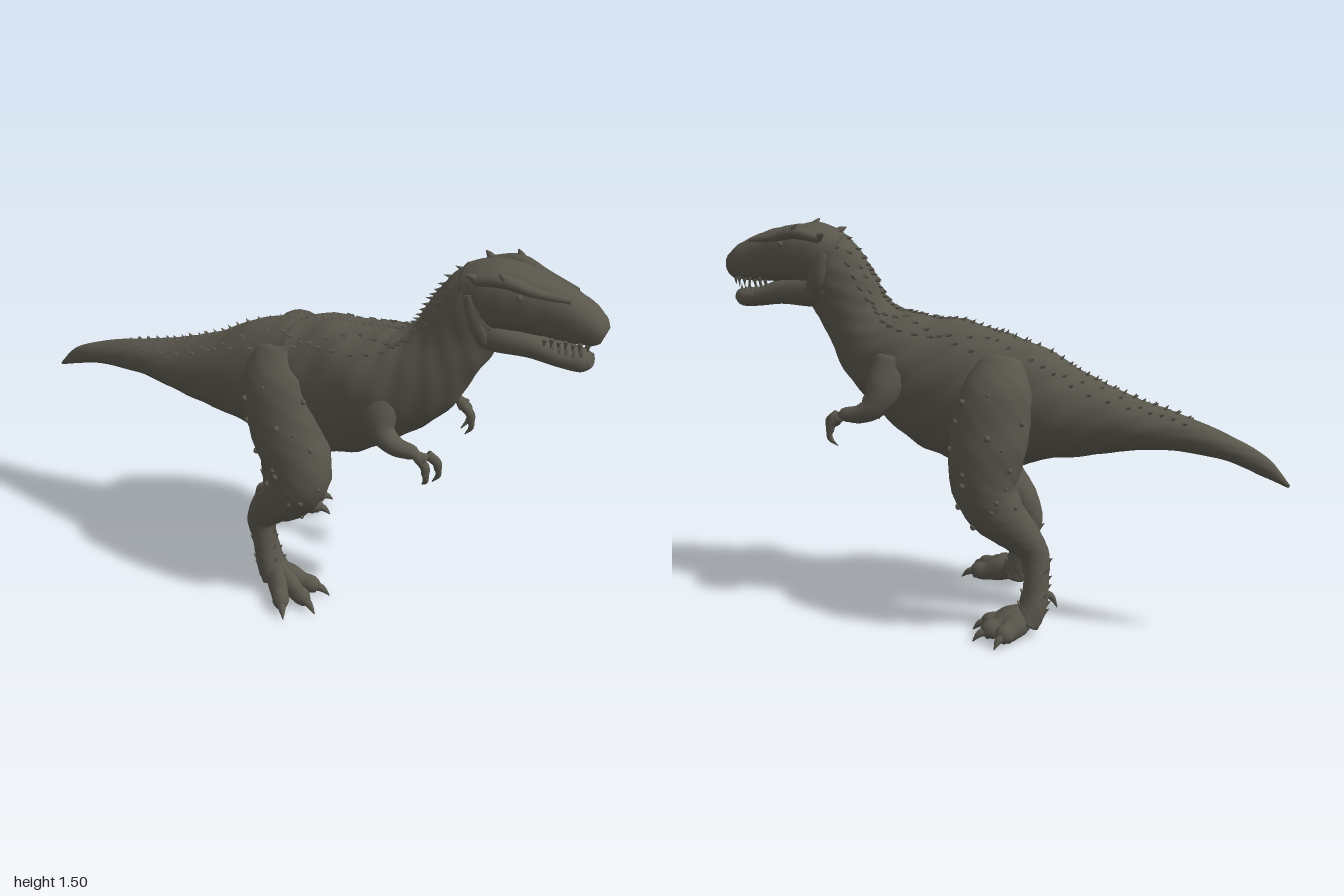
import * as THREE from 'three';
import { mergeGeometries } from 'three/addons/utils/BufferGeometryUtils.js';

const hide = new THREE.MeshStandardMaterial({ color: 0x59564c });
hide.name = 'dark hide';
const V = (x, y, z) => new THREE.Vector3(x, y, z);

// Surface through oval sections; each row is [x, y, z, sideRadius, otherRadius].
function surface(rows, { bump = 0, square = 1 } = {}) {
  const path = new THREE.CatmullRomCurve3(rows.map(r => V(r[0], r[1], r[2])));
  const size = new THREE.CatmullRomCurve3(rows.map(r => V(r[3], r[4], 0)));
  const soft = v => Math.sign(v) * Math.abs(v) ** square;
  return (t, a, scale = 1) => {
    const c = path.getPoint(t), d = path.getTangent(t), r = size.getPoint(t);
    const side = V(1, 0, 0).addScaledVector(d, -d.x).normalize();
    const n = d.clone().cross(side);
    const k = scale * (1 + bump * Math.sin(5 * a + t * 31) * Math.sin(t * 80 + a * 3));
    return c.addScaledVector(side, soft(Math.cos(a)) * Math.max(r.x, 0.001) * k)
      .addScaledVector(n, soft(Math.sin(a)) * Math.max(r.y, 0.001) * k);
  };
}

// Closed skin over a surface, with rounded ends.
function skin(f, steps, sides) {
  const pos = [], idx = [], rings = [[0, 0], [0, 0.6]];
  for (let i = 0; i <= steps; i++) rings.push([i / steps, 1]);
  rings.push([1, 0.6], [1, 0]);
  rings.forEach(([t, k], i) => {
    for (let j = 0; j < sides; j++) {
      pos.push(...f(t, j / sides * Math.PI * 2, k).toArray());
      if (i === rings.length - 1) continue;
      const a = i * sides + j, b = i * sides + (j + 1) % sides;
      idx.push(a, b, a + sides, b, b + sides, a + sides);
    }
  });
  const g = new THREE.BufferGeometry();
  g.setAttribute('position', new THREE.Float32BufferAttribute(pos, 3));
  g.setIndex(idx);
  g.computeVertexNormals();
  return g;
}
const loft = (rows, steps = 20, sides = 16, opt) => skin(surface(rows, opt), steps, sides);

// Curved claw or horn: three centre points tapering to a tip.
const claw = (a, b, c, r) => loft([[...a, r, r], [...b, r * 0.75, r * 0.75], [...c, 0.002, 0.002]], 6, 8);

// Cone standing at a point and pointing along a direction.
function spike(p, dir, r, h) {
  const g = new THREE.ConeGeometry(r, h, 6);
  g.applyQuaternion(new THREE.Quaternion().setFromUnitVectors(V(0, 1, 0), dir.clone().normalize()));
  return g.translate(p.x, p.y, p.z);
}
const knob = (p, r) => new THREE.SphereGeometry(r, 8, 6).translate(p.x, p.y, p.z);

export function createModel() {
  const model = new THREE.Group();
  const dino = new THREE.Group(), head = new THREE.Group();
  dino.name = 'dinosaur';
  dino.rotation.y = 0.495; // the animal stands diagonally
  head.name = 'head';
  head.position.x = -0.022;
  dino.add(head);
  model.add(dino);
  const addTo = parent => (name, ...geos) => {
    const m = new THREE.Mesh(geos.length > 1 ? mergeGeometries(geos) : geos[0], hide);
    m.name = name;
    parent.add(m);
  };
  const add = addTo(dino), addHead = addTo(head);

  // Tail, trunk and neck in one skin, bent slightly to its right
  const body = surface([
    [-0.02, 0.62, -1.136, 0.006, 0.006], [-0.025, 0.685, -1.04, 0.03, 0.035],
    [-0.035, 0.735, -0.92, 0.048, 0.045], [-0.05, 0.78, -0.7, 0.075, 0.07],
    [-0.055, 0.795, -0.51, 0.108, 0.11], [-0.055, 0.81, -0.33, 0.137, 0.165],
    [-0.05, 0.835, -0.15, 0.165, 0.235], [-0.045, 0.84, 0.02, 0.185, 0.28],
    [-0.045, 0.89, 0.2, 0.195, 0.27], [-0.048, 0.955, 0.36, 0.19, 0.225],
    [-0.05, 1.035, 0.49, 0.158, 0.178], [-0.045, 1.14, 0.575, 0.126, 0.142],
    [-0.035, 1.25, 0.632, 0.115, 0.142], [-0.028, 1.345, 0.685, 0.108, 0.132],
    [-0.022, 1.38, 0.76, 0.085, 0.09],
  ], { bump: 0.025 });
  add('body', skin(body, 90, 36));

  // Ragged row of spines on the back, with rows of low scales beside it
  const spines = [], scales = [];
  for (let i = 0; i < 50; i++) {
    const t = 0.2 + i * 0.0152, p = body(t, Math.PI / 2);
    const out = p.clone().sub(body(t, Math.PI / 2, 0)).normalize();
    const back = body(t, 0, 0).sub(body(t + 0.01, 0, 0)).normalize();
    out.addScaledVector(back, 0.6);
    spines.push(spike(p, out, 0.014, 0.03 + 0.02 * Math.abs(Math.sin(i * 2.3))));
    for (const k of [-1, 1]) {
      const a = Math.PI / 2 + k * (0.3 + 0.45 * Math.abs(Math.sin(i * 1.7 + k)));
      const q = body(t, a), away = q.clone().sub(body(t, a, 0)).normalize().add(back);
      scales.push(spike(q, away, 0.014, 0.028));
    }
  }
  add('backSpines', ...spines);
  add('backScales', ...scales);

  // Head: skull, open lower jaw, brows, horns, eyes and teeth
  addHead('skull', loft([
    [0, 1.35, 0.635, 0.1, 0.108], [0, 1.375, 0.73, 0.113, 0.122],
    [0, 1.377, 0.83, 0.104, 0.112], [0, 1.36, 0.94, 0.083, 0.098],
    [0, 1.334, 1.04, 0.073, 0.077], [0, 1.31, 1.1, 0.052, 0.05], [0, 1.303, 1.118, 0.03, 0.03],
  ], 30, 24, { square: 0.85, bump: 0.02 }));
  addHead('lowerJaw', loft([
    [0, 1.255, 0.65, 0.1, 0.08], [0, 1.24, 0.76, 0.1, 0.068],
    [0, 1.225, 0.88, 0.08, 0.05], [0, 1.197, 0.99, 0.062, 0.037],
    [0, 1.193, 1.055, 0.05, 0.037], [0, 1.2, 1.085, 0.03, 0.022],
  ], 24, 20, { square: 0.85 }));
  const teeth = [];
  for (const k of [-1, 1]) {
    const name = k > 0 ? 'left' : 'right';
    addHead(name + 'Brow', loft([
      [k * 0.085, 1.45, 0.68, 0.02, 0.02], [k * 0.087, 1.47, 0.78, 0.026, 0.024],
      [k * 0.073, 1.445, 0.88, 0.02, 0.018], [k * 0.045, 1.425, 1.0, 0.01, 0.01]], 14, 10),
    claw([k * 0.085, 1.46, 0.79], [k * 0.095, 1.485, 0.78], [k * 0.103, 1.505, 0.765], 0.02),
    claw([k * 0.08, 1.445, 0.69], [k * 0.093, 1.465, 0.67], [k * 0.105, 1.475, 0.65], 0.018));
    addHead(name + 'Eye', knob(V(k * 0.096, 1.425, 0.84), 0.012));
    addHead(name + 'Cheek', loft([
      [k * 0.095, 1.4, 0.66, 0.015, 0.02], [k * 0.1, 1.3, 0.69, 0.022, 0.035],
      [k * 0.085, 1.22, 0.73, 0.018, 0.025]], 10, 10));
    for (let i = 0; i < 7; i++) {
      const z = 0.93 + i * 0.024, x = k * (i > 5 ? 0.038 : 0.064 - i * 0.002);
      teeth.push(spike(V(x, 1.26, z), V(0, -1, 0), 0.009, 0.03 + 0.014 * (i % 2)));
      teeth.push(spike(V(x * 0.78, 1.236, z - 0.02), V(0, 1, 0), 0.008, 0.028));
    }
  }
  addHead('teeth', ...teeth);

  // Legs: the right one strides ahead of the left
  const thick = [[0.06, 0.08], [0.105, 0.14], [0.115, 0.15], [0.105, 0.125], [0.095, 0.105],
    [0.068, 0.075], [0.053, 0.057], [0.053, 0.048], [0.062, 0.056], [0.068, 0.06]];
  const legs = [
    { name: 'left', k: 1, turn: 0.74, reach: 0.2, path: [[0.06, 1.03, -0.06], [0.13, 0.91, -0.06],
      [0.175, 0.74, -0.045], [0.205, 0.57, -0.04], [0.195, 0.47, -0.09], [0.165, 0.38, -0.17],
      [0.15, 0.31, -0.22], [0.168, 0.2, -0.235], [0.19, 0.1, -0.225], [0.21, 0.05, -0.2]] },
    { name: 'right', k: -1, turn: 0.46, reach: 0.23, path: [[-0.12, 1.03, -0.05], [-0.17, 0.91, -0.04],
      [-0.215, 0.74, 0.02], [-0.25, 0.57, 0.09], [-0.255, 0.47, 0.05], [-0.255, 0.38, -0.035],
      [-0.25, 0.31, -0.075], [-0.248, 0.2, -0.06], [-0.252, 0.1, -0.035], [-0.255, 0.05, -0.01]] },
  ];
  for (const { name, k, turn, reach, path } of legs) {
    const leg = surface(path.map((p, i) => [...p, ...thick[i]]), { bump: 0.03 });
    add(name + 'Leg', skin(leg, 48, 24));
    const warts = [];
    for (let i = 0; i < 16; i++) {
      const a = (k > 0 ? 0 : Math.PI) + 1.1 * Math.sin(i * 2.4);
      warts.push(knob(leg(0.12 + i * 0.022, a), 0.007 + 0.006 * Math.abs(Math.sin(i * 1.9))));
    }
    // Ragged scales around the shank
    for (let i = 0; i < 7; i++) {
      const t = 0.7 + i * 0.03;
      warts.push(spike(leg(t, Math.PI * 1.5 + 0.5 * Math.sin(i * 2)), V(0, 0.8, -1), 0.013, 0.035));
      warts.push(spike(leg(t, Math.PI / 2 + 0.8 * Math.sin(i * 3)), V(0, 1, 0.7), 0.013, 0.035));
    }
    add(name + 'LegScales', ...warts);
    // Three toes with claws
    const [x, , z] = path[9];
    for (let i = -1; i <= 1; i++) {
      const a = k * turn + i * 0.54, len = reach * (i ? 0.96 : 1.04);
      const at = (d, y) => [x + Math.sin(a) * d * len, y, z + Math.cos(a) * d * len];
      add(name + 'Toe', loft([[...at(0, 0.075), 0.045, 0.05], [...at(0.28, 0.06), 0.04, 0.052],
        [...at(0.52, 0.045), 0.033, 0.04], [...at(0.68, 0.042), 0.033, 0.038],
        [...at(0.8, 0.032), 0.02, 0.024]], 16, 12),
      claw(at(0.74, 0.04), at(0.88, 0.034), at(1.02, 0.008), 0.019));
    }
    // Spur at the back of the ankle
    const [hx, , hz] = path[8];
    add(name + 'Spur', claw([hx - k * 0.03, 0.15, hz - 0.025], [hx - k * 0.05, 0.14, hz - 0.06],
      [hx - k * 0.055, 0.095, hz - 0.085], 0.02));
  }

  // Short arms, each with two hooked fingers
  for (const k of [-1, 1]) {
    const name = k > 0 ? 'left' : 'right', c = -0.033;
    add(name + 'Arm', loft([
      [c + k * 0.12, 1.01, 0.37, 0.05, 0.075], [c + k * 0.165, 0.92, 0.385, 0.055, 0.075],
      [c + k * 0.2, 0.84, 0.415, 0.044, 0.05], [c + k * 0.213, 0.805, 0.47, 0.036, 0.037],
      [c + k * 0.213, 0.795, 0.54, 0.028, 0.028], [c + k * 0.207, 0.77, 0.585, 0.028, 0.028]], 26, 16));
    for (const d of [-1, 1]) {
      const fx = c + k * (0.2 + d * 0.015), fz = 0.59 - d * 0.014;
      add(name + 'Finger',
        loft([[fx, 0.785, fz - 0.02, 0.018, 0.02], [fx + k * d * 0.008, 0.755, fz + 0.015, 0.017, 0.018],
          [fx + k * d * 0.012, 0.725, fz + 0.02, 0.014, 0.014]], 8, 10),
        claw([fx + k * d * 0.012, 0.735, fz + 0.02], [fx + k * d * 0.012, 0.7, fz + 0.022],
          [fx - k * 0.012, 0.665, fz], 0.014));
    }
  }
  return model;
}
